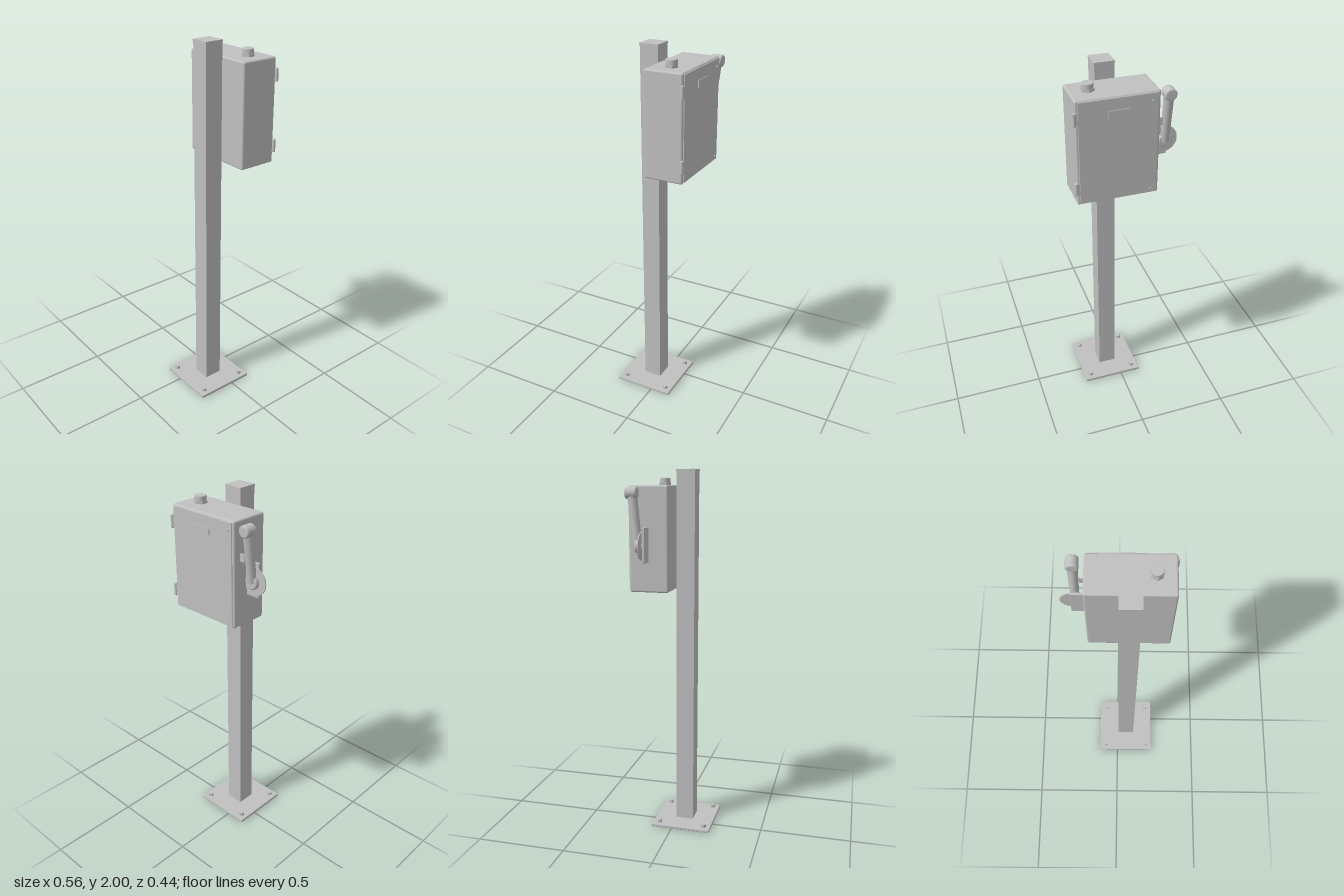
import * as THREE from 'three';
import { RoundedBoxGeometry } from 'three/addons/geometries/RoundedBoxGeometry.js';

export function createModel() {
  const model = new THREE.Group();
  const metal = new THREE.MeshStandardMaterial({ color: 0xc0c0c0 });
  metal.name = 'greyMetal';

  const add = (name, geo, x, y, z) => {
    const mesh = new THREE.Mesh(geo, metal);
    mesh.name = name;
    mesh.position.set(x, y, z);
    model.add(mesh);
    return mesh;
  };
  // Box given by its limits, with optional rounded edges
  const box = (name, [x0, x1], [y0, y1], [z0, z1], r = 0) => {
    const size = [x1 - x0, y1 - y0, z1 - z0];
    const geo = r ? new RoundedBoxGeometry(...size, 4, r) : new THREE.BoxGeometry(...size);
    return add(name, geo, (x0 + x1) / 2, (y0 + y1) / 2, (z0 + z1) / 2);
  };
  // Round bar along y with softened rims
  const roundedBar = (radius, length, bevel) => {
    const h = length / 2;
    const points = [new THREE.Vector2(0, -h)];
    for (const [side, start] of [[-1, -Math.PI / 2], [1, 0]])
      for (let i = 0; i <= 4; i++) {
        const a = start + (i / 4) * Math.PI / 2;
        points.push(new THREE.Vector2(radius - bevel + bevel * Math.cos(a), side * (h - bevel) + bevel * Math.sin(a)));
      }
    points.push(new THREE.Vector2(0, h));
    return new THREE.LatheGeometry(points, 32);
  };
  const hex = (radius, height) => {
    const geo = new THREE.CylinderGeometry(radius, radius, height, 6).toNonIndexed();
    geo.computeVertexNormals();
    return geo;
  };

  // Floor plate with four hex bolts
  box('basePlate', [-0.115, 0.225], [0, 0.017], [-0.117, 0.219], 0.003);
  for (const x of [-0.077, 0.187])
    for (const z of [-0.079, 0.181]) add('baseBolt', hex(0.014, 0.018), x, 0.025, z);

  // Square post and its cap
  box('post', [0.005, 0.105], [0.01, 1.992], [-0.001, 0.1]);
  box('postCap', [0.003, 0.107], [1.99, 2], [-0.003, 0.102]);

  // Cabinet, door and door fittings
  box('cabinet', [-0.154, 0.265], [1.368, 1.918], [-0.213, -0.004], 0.01);
  box('door', [-0.141, 0.252], [1.375, 1.911], [-0.218, -0.205], 0.002);
  box('doorPlate', [0.004, 0.107], [1.812, 1.852], [-0.222, -0.216]);
  for (const y of [1.395, 1.872])
    add('doorScrew', new THREE.CylinderGeometry(0.008, 0.008, 0.006, 16), -0.116, y, -0.219).rotation.x = Math.PI / 2;
  for (const y of [1.46, 1.828]) {
    add('hingeBarrel', roundedBar(0.009, 0.068, 0.002), 0.269, y, -0.214);
    box('hingeLeaf', [0.25, 0.27], [y - 0.03, y + 0.03], [-0.217, -0.211]);
  }

  // Cable gland on the roof
  add('glandNut', hex(0.034, 0.014), 0.172, 1.924, -0.109);
  add('glandCap', roundedBar(0.029, 0.036, 0.003), 0.172, 1.939, -0.109);

  // Ring fitting in the floor of the cabinet
  const ring = new THREE.Shape().absarc(0, 0, 0.022, 0, Math.PI * 2);
  ring.holes.push(new THREE.Path().absarc(0, 0, 0.012, 0, Math.PI * 2, true));
  const ringGeo = new THREE.ExtrudeGeometry(ring, { depth: 0.008, bevelEnabled: false, curveSegments: 24 });
  add('floorRing', ringGeo, -0.023, 1.369, -0.104).rotation.x = Math.PI / 2;

  // Side bracket, round back disc and stop
  box('sideBracket', [-0.228, -0.15], [1.527, 1.707], [-0.122, -0.108], 0.002);
  add('backDisc', new THREE.CylinderGeometry(0.072, 0.072, 0.006, 48), -0.208, 1.615, -0.128).rotation.x = Math.PI / 2;
  add('discSpacer', new THREE.CylinderGeometry(0.02, 0.02, 0.02, 24), -0.208, 1.615, -0.126).rotation.x = Math.PI / 2;
  box('leverStop', [-0.183, -0.15], [1.715, 1.755], [-0.173, -0.166]);

  // Leaning handle between its hub and its knob
  const low = new THREE.Vector3(-0.208, 1.615, -0.147);
  const high = new THREE.Vector3(-0.208, 1.88, -0.177);
  const dir = high.clone().sub(low);
  const mid = low.clone().add(high).multiplyScalar(0.5);
  const lever = add('lever', new THREE.CylinderGeometry(0.026, 0.022, dir.length(), 32), mid.x, mid.y, mid.z);
  lever.quaternion.setFromUnitVectors(new THREE.Vector3(0, 1, 0), dir.normalize());
  add('leverHub', roundedBar(0.037, 0.027, 0.008), -0.208, 1.615, -0.145).rotation.x = Math.PI / 2;
  add('leverKnob', roundedBar(0.031, 0.062, 0.008), -0.208, 1.88, -0.179).rotation.x = Math.PI / 2;

  return model;
}
